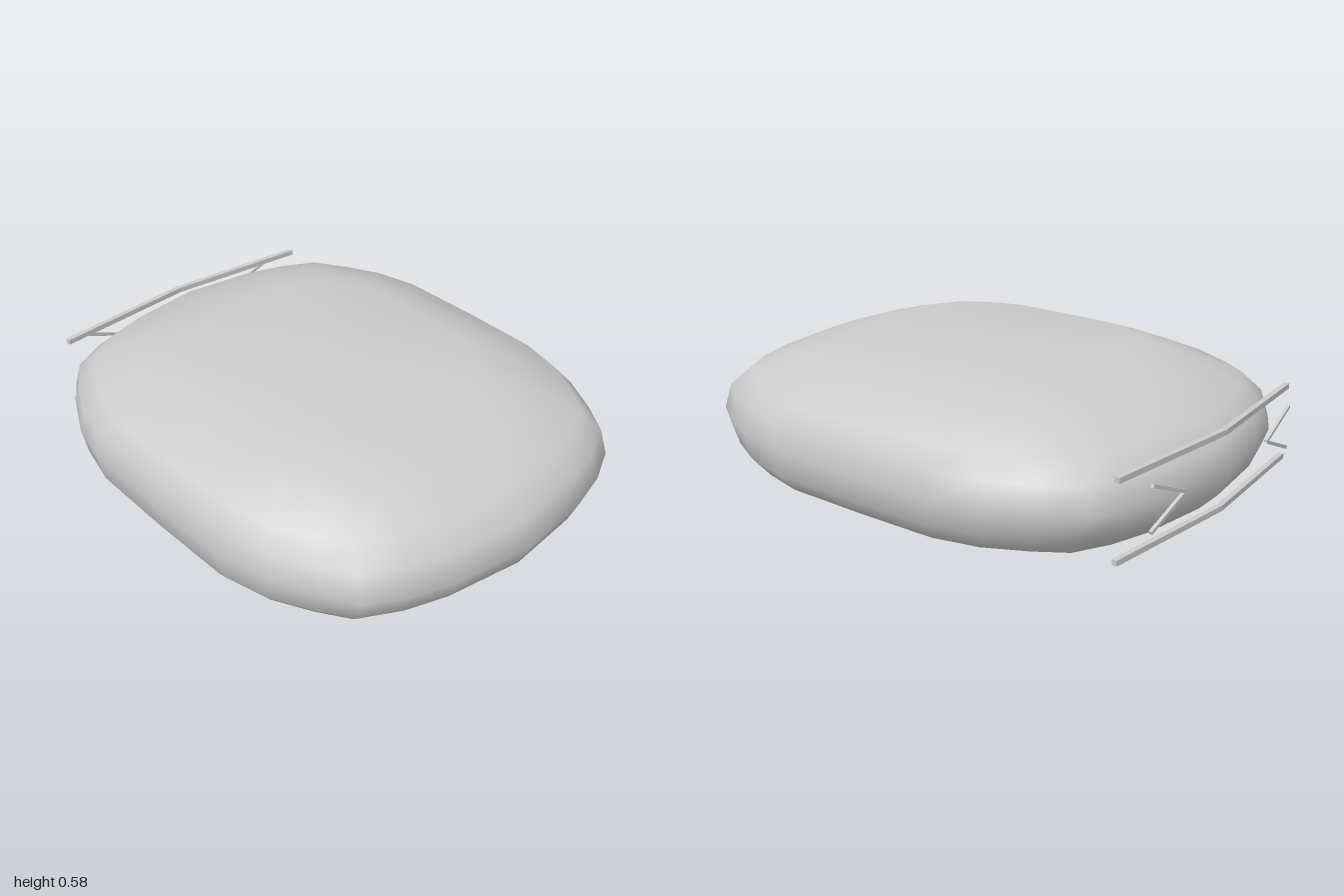
import * as THREE from 'three';

const material = new THREE.MeshStandardMaterial({ color: 0xcccccc });

// Loft of one rounded-rectangle outline, scaled at each level and closed by flat fans
function cushionGeometry() {
  const quarter = [[0, 1], [0.3, 0.96], [0.46, 0.91], [0.6, 0.835], [0.68, 0.71], [0.76, 0.55], [0.805, 0.36], [0.81, 0]];
  const outline = [];
  for (let q = 0; q < 4; q++) {
    // each quarter is mirrored; odd quarters are walked backwards
    const sx = q < 2 ? 1 : -1, sz = q === 0 || q === 3 ? 1 : -1;
    const pts = q % 2 ? [...quarter].reverse() : quarter;
    pts.slice(0, -1).forEach(([x, z]) => outline.push([x * sx, z * sz]));
  }
  // height, width scale, depth scale
  const levels = [
    [0, 0.57, 0.58], [0.13, 0.92, 0.89], [0.2, 0.985, 0.96], [0.29, 1, 1],
    [0.385, 0.985, 0.965], [0.455, 0.915, 0.885], [0.52, 0.74, 0.73], [0.58, 0.54, 0.52],
  ];
  const n = outline.length, pos = [], index = [];
  for (const [y, sx, sz] of levels) for (const [x, z] of outline) pos.push(x * sx, y, z * sz);
  for (let l = 0; l < levels.length - 1; l++) {
    for (let i = 0; i < n; i++) {
      const a = l * n + i, b = l * n + (i + 1) % n;
      index.push(a, b, b + n, a, b + n, a + n);
    }
  }
  const bottom = levels.length * n, top = bottom + 1, last = (levels.length - 1) * n;
  pos.push(0, 0, 0, 0, 0.58, 0);
  for (let i = 0; i < n; i++) {
    const j = (i + 1) % n;
    index.push(bottom, j, i, top, last + i, last + j);
  }
  const geo = new THREE.BufferGeometry();
  geo.setAttribute('position', new THREE.Float32BufferAttribute(pos, 3));
  geo.setIndex(index);
  geo.computeVertexNormals();
  return geo;
}

// Thin square bar between two points
function bar(name, from, to, height, depth) {
  const a = new THREE.Vector3(...from), b = new THREE.Vector3(...to);
  const mesh = new THREE.Mesh(new THREE.BoxGeometry(height, depth, a.distanceTo(b)), material);
  mesh.name = name;
  mesh.position.copy(a).add(b).multiplyScalar(0.5);
  mesh.lookAt(b);
  return mesh;
}

export function createModel() {
  const model = new THREE.Group();
  model.name = 'cushion';

  const body = new THREE.Mesh(cushionGeometry(), material);
  body.name = 'body';
  model.add(body);

  // Two long bars across the back, bent at the middle
  for (const [name, y] of [['upperBar', 0.43], ['lowerBar', 0.155]]) {
    const group = new THREE.Group();
    group.name = name;
    for (const s of [1, -1]) group.add(bar('barHalf', [0, y, -0.968], [s * 0.57, y, -0.915], 0.02, 0.02));
    model.add(group);
  }

  // Chevrons on the back, points facing inwards
  for (const s of [1, -1]) {
    const chevron = new THREE.Group();
    chevron.name = s > 0 ? 'leftChevron' : 'rightChevron';
    const tip = [s * 0.277, 0.315, -0.988];
    for (const y of [0.393, 0.235]) chevron.add(bar('chevronArm', tip, [s * 0.465, y, -0.977], 0.012, 0.012));
    model.add(chevron);
  }
  return model;
}
